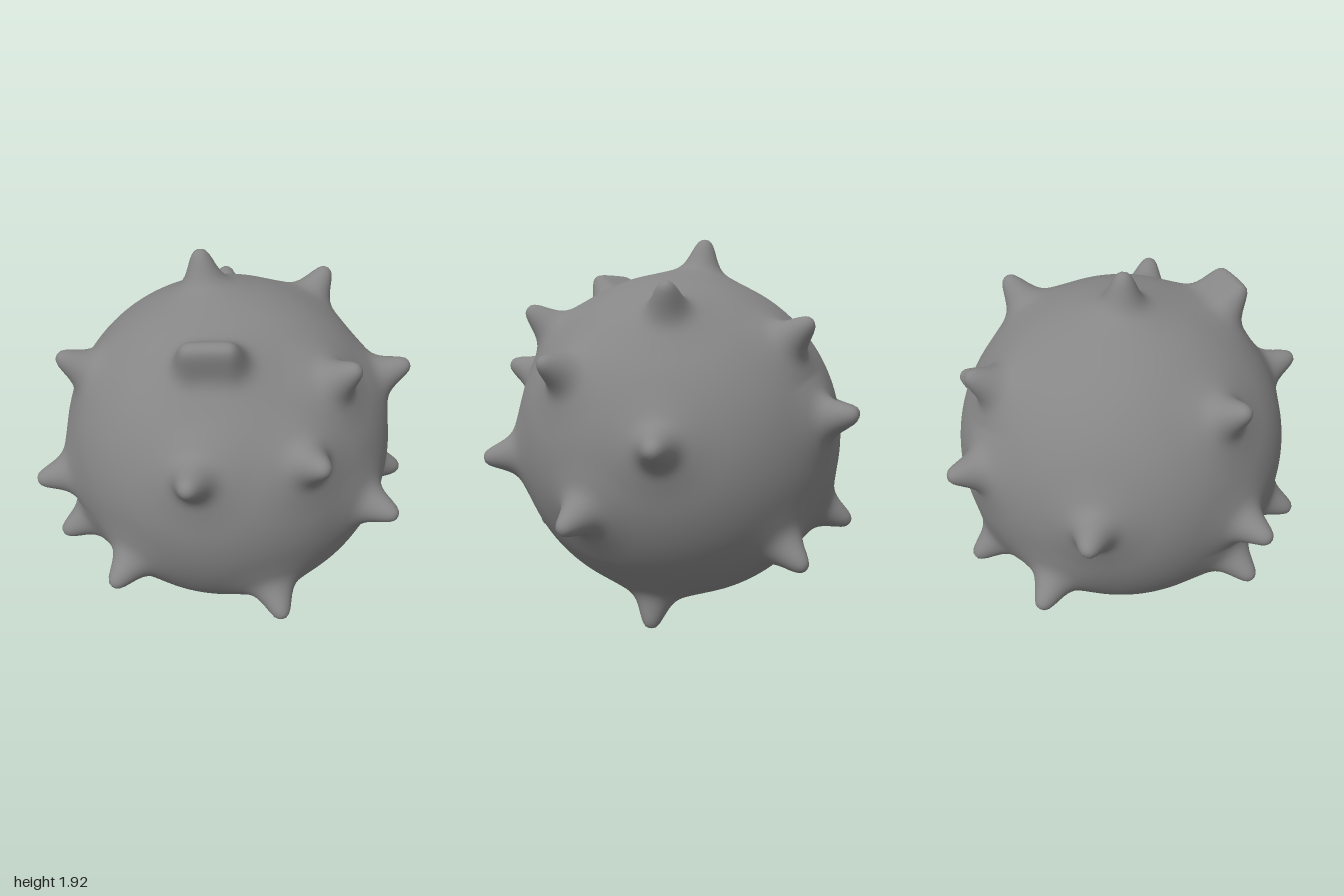
import * as THREE from 'three';
import { mergeVertices } from 'three/addons/utils/BufferGeometryUtils.js';

const RADIUS = 0.83, HEIGHT = 0.175, WIDTH = 0.078;

// Spike directions measured from the ball's centre
const SPIKES = [
  [-0.15, 1.0, 0.01], [0.73, 0.64, 0.16], [0.8, 0.43, -0.4], [0.75, 0.34, 0.53],
  [0.28, 0.3, 0.89], [-0.61, 0.55, 0.54], [-0.99, 0.08, -0.15], [-0.71, -0.1, 0.69],
  [-0.62, -0.43, 0.64], [-0.14, -0.4, 0.91], [-0.8, -0.45, -0.39], [0.61, -0.56, 0.57],
  [0.99, -0.09, 0.14], [0.26, -0.92, -0.29], [0.76, -0.3, -0.56], [0.44, 0.09, -0.87],
  [0.27, 0.76, -0.56], [-0.38, 0.6, -0.69], [-0.58, 0.18, -0.8], [-0.34, -0.54, -0.77],
].map((d) => new THREE.Vector3(...d).normalize());

// Broad knob: a short ridge between two directions
const RIDGE = new THREE.Line3(
  new THREE.Vector3(0.12, 0.79, 0.59).normalize(),
  new THREE.Vector3(0.28, 0.8, 0.52).normalize()
);

// Rounded tip with a flared foot, fading out at distance 0.36
function bump(distance) {
  const fade = 1 - THREE.MathUtils.smoothstep(distance, 0.2, 0.36);
  return (HEIGHT * fade) / (1 + Math.pow(distance / WIDTH, 3));
}

export function createModel() {
  const grey = new THREE.MeshStandardMaterial({ color: 0x868686 });
  grey.name = 'grey';

  // Evenly divided ball, welded so that its normals are smooth
  let geometry = new THREE.IcosahedronGeometry(1, 64);
  geometry.deleteAttribute('normal');
  geometry.deleteAttribute('uv');
  geometry = mergeVertices(geometry, 1e-5);

  // Push the surface outwards into spikes
  const position = geometry.attributes.position;
  const v = new THREE.Vector3(), nearest = new THREE.Vector3();
  for (let i = 0; i < position.count; i++) {
    v.fromBufferAttribute(position, i).normalize();
    RIDGE.closestPointToPoint(v, true, nearest).normalize();
    let height = bump(v.distanceTo(nearest));
    for (const spike of SPIKES) height = Math.max(height, bump(v.distanceTo(spike)));
    v.multiplyScalar(RADIUS + height);
    position.setXYZ(i, v.x, v.y, v.z);
  }
  geometry.computeVertexNormals();

  const ball = new THREE.Mesh(geometry, grey);
  ball.name = 'spikedBall';
  ball.position.set(0, 0.94, -0.01);

  const group = new THREE.Group();
  group.name = 'spikyBall';
  group.add(ball);
  return group;
}
